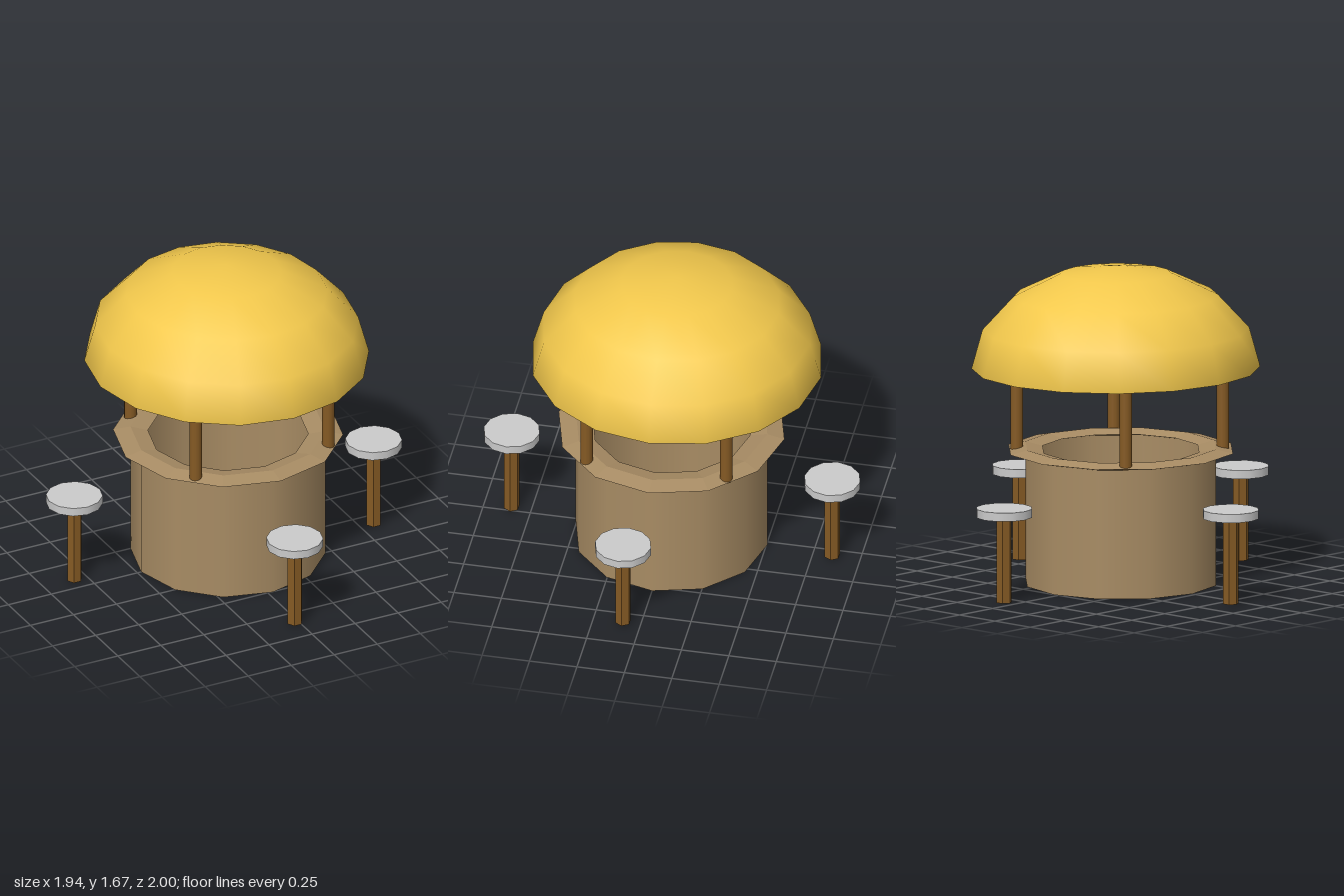
import * as THREE from 'three';

const mat = (color, opts = {}) => new THREE.MeshStandardMaterial({ color, ...opts });

function add(parent, name, geometry, material, x = 0, y = 0, z = 0) {
  const mesh = new THREE.Mesh(geometry, material);
  mesh.name = name;
  mesh.position.set(x, y, z);
  parent.add(mesh);
  return mesh;
}

export function createModel() {
  const group = new THREE.Group();
  group.name = 'roundBar';
  const clay = mat(0xa88c64, { side: THREE.DoubleSide });
  const wood = mat(0x855a24);
  const legWood = mat(0x855a24, { flatShading: true });
  const straw = mat(0xf2c84c, { side: THREE.DoubleSide });
  const grey = mat(0xcccccc);
  const cx = 0.027;

  // Hollow drum: open at the top, closed underneath
  const drum = new THREE.CylinderGeometry(0.505, 0.505, 0.7, 12, 1, true);
  add(group, 'barWall', drum, clay, cx, 0.35, 0);
  const floor = new THREE.CircleGeometry(0.505, 12).rotateX(Math.PI / 2);
  add(group, 'barFloor', floor, clay, cx, 0, 0);

  // Counter: a flattened ring with a diamond section
  const ring = new THREE.TorusGeometry(0.505, 0.09, 4, 12)
    .rotateX(Math.PI / 2).scale(1, 0.22, 1);
  add(group, 'counter', ring, mat(0xa88c64, { flatShading: true }), cx, 0.697, 0);

  // Roof posts
  const post = new THREE.CylinderGeometry(0.033, 0.033, 0.56, 12);
  for (const sx of [-1, 1]) {
    for (const sz of [-1, 1]) {
      add(group, 'roofPost', post, wood, 0.034 + sx * 0.385, 0.97, sz * 0.368);
    }
  }

  // Domed roof, open underneath
  const dome = new THREE.SphereGeometry(1, 16, 4, 0, Math.PI * 2, 0, Math.PI / 2)
    .scale(0.733, 0.535, 0.76);
  add(group, 'roof', dome, straw, 0.034, 1.13, -0.03);

  // Stools: round seat on a six-sided leg
  const seat = new THREE.CylinderGeometry(0.147, 0.147, 0.045, 12);
  const leg = new THREE.CylinderGeometry(0.041, 0.041, 0.46, 6).rotateY(Math.PI / 2);
  for (const [x, z] of [[-0.025, 0.853], [0.055, -0.853], [0.825, 0.093], [-0.825, -0.08]]) {
    const stool = new THREE.Group();
    stool.name = 'stool';
    stool.position.set(x, 0, z);
    add(stool, 'stoolSeat', seat, grey, 0, 0.478, 0);
    add(stool, 'stoolLeg', leg, legWood, 0, 0.235, 0);
    group.add(stool);
  }
  return group;
}
